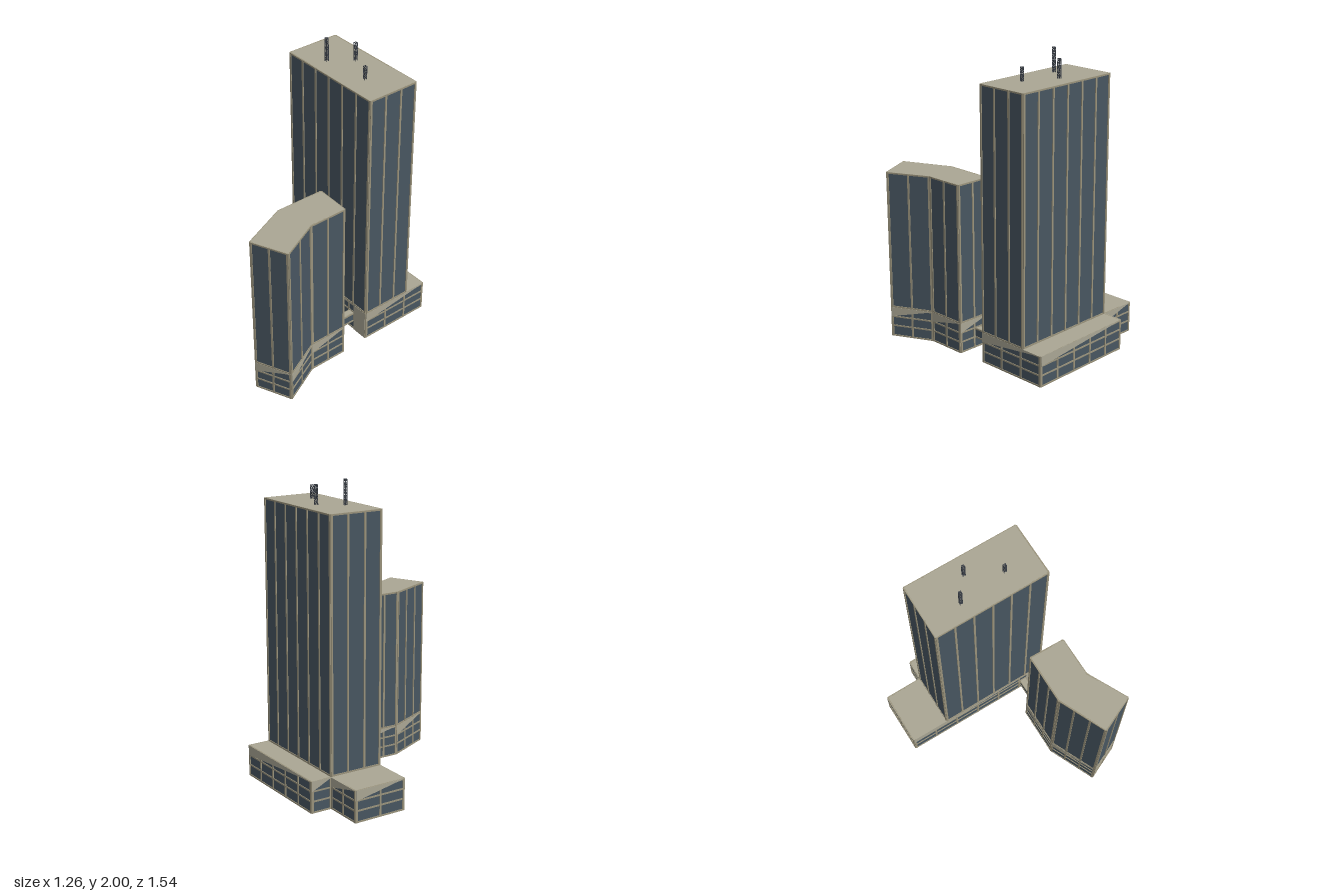
import * as THREE from 'three';

const material = (name, color) => {
  const m = new THREE.MeshStandardMaterial({ color });
  m.name = name;
  return m;
};

export function createModel() {
  const stone = material('warm grey stone', 0xaaa694);
  const trim = material('mullion stone', 0x9a937c);
  const glass = material('blue grey glass', 0x485661);
  const steel = material('dark steel', 0x3b4048);
  const model = new THREE.Group();

  const addBox = (parent, name, mat, size, pos) => {
    const mesh = new THREE.Mesh(new THREE.BoxGeometry(...size), mat);
    mesh.name = name;
    mesh.position.set(...pos);
    parent.add(mesh);
    return mesh;
  };

  // Group at corner a: local x runs along the wall, local z points outwards
  const wallFrame = (parent, a, b) => {
    const wall = new THREE.Group();
    wall.name = 'wall';
    wall.position.set(a[0], 0, a[1]);
    wall.rotation.y = Math.atan2(a[1] - b[1], b[0] - a[0]);
    parent.add(wall);
    return wall;
  };

  // Glass prism with stone caps, vertical mullions and horizontal rails
  const addBlock = (name, pts, y0, y1, { bay, rails = [], wedgeFrom = null, bar = 0.013 }) => {
    const block = new THREE.Group();
    block.name = name;
    model.add(block);
    const shape = new THREE.Shape(pts.map(([x, z]) => new THREE.Vector2(x, -z)));
    const geo = new THREE.ExtrudeGeometry(shape, { depth: y1 - y0, bevelEnabled: false });
    geo.rotateX(-Math.PI / 2).translate(0, y0, 0);
    const core = new THREE.Mesh(geo, [stone, glass]);
    core.name = 'glazedCore';
    block.add(core);

    const out = 0.005;
    pts.forEach((a, i) => {
      const b = pts[(i + 1) % pts.length];
      const len = Math.hypot(b[0] - a[0], b[1] - a[1]);
      const wall = wallFrame(block, a, b);
      const bays = Math.max(1, Math.round(len / bay));
      for (let k = 0; k <= bays; k++) {
        const x = THREE.MathUtils.clamp((k / bays) * len, bar / 2, len - bar / 2);
        addBox(wall, 'mullion', trim, [bar, y1 - y0, out * 2], [x, (y0 + y1) / 2, 0]);
      }
      for (const y of [y0 + 0.005, ...rails, y1 - 0.005]) {
        addBox(wall, 'rail', trim, [len, 0.01, out * 1.8], [len / 2, y, 0]);
      }
      // Stone triangle over the upper row of panes
      if (wedgeFrom !== null) {
        const tri = new THREE.Shape([
          new THREE.Vector2(0, wedgeFrom), new THREE.Vector2(len, y1), new THREE.Vector2(0, y1),
        ]);
        const plate = new THREE.Mesh(
          new THREE.ExtrudeGeometry(tri, { depth: 0.006, bevelEnabled: false }), stone);
        plate.name = 'slopedFascia';
        wall.add(plate);
      }
    });
    return block;
  };

  // Corner points are [x, z], running left to right as seen from outside
  const tallPlan = [[0.165, 0.32], [0.49, 0.165], [0.165, -0.53], [-0.165, -0.375]];
  const podiumPlan = [[0.165, 0.32], [0.625, 0.10], [0.295, -0.59],
    [0.165, -0.53], [0.05, -0.77], [-0.275, -0.615]];
  const lowPlan = [[-0.63, 0.60], [-0.435, 0.765], [-0.25, 0.53],
    [-0.01, 0.415], [-0.105, 0.195], [-0.405, 0.335]];
  const bridgePlan = [[-0.07, 0.297], [0.115, 0.21], [0.097, 0.173], [-0.085, 0.26]];

  const baseTop = 0.21;
  const baseStyle = { bay: 0.165, rails: [0.077, 0.143], wedgeFrom: 0.143 };
  const podium = addBlock('podium', podiumPlan, 0, baseTop, baseStyle);
  addBlock('tallTower', tallPlan, baseTop, 1.84, { bay: 0.125 });
  addBlock('lowTowerBase', lowPlan, 0, baseTop, { ...baseStyle, bay: 0.125 });
  addBlock('lowTower', lowPlan, baseTop, 1.16, { bay: 0.125 });
  addBlock('footbridge', bridgePlan, 0.07, 0.14, { bay: 0.3, bar: 0.008 });

  // Plain stone pier beside the footbridge
  const pierWall = wallFrame(podium, podiumPlan[5], podiumPlan[0]);
  addBox(pierWall, 'stonePier', stone, [0.115, baseTop, 0.014], [0.975, baseTop / 2, 0]);

  // Lattice masts on the tall roof
  const addMast = (x, z, top) => {
    const mast = new THREE.Group();
    mast.name = 'latticeMast';
    mast.position.set(x, 1.84, z);
    mast.rotation.y = 0.44;
    model.add(mast);
    const h = top - 1.84, w = 0.016, t = 0.0025;
    const steps = Math.round(h / 0.02), dh = h / steps;
    for (let s = 0; s < 4; s++) {
      const side = new THREE.Group();
      side.name = 'mastSide';
      side.rotation.y = s * Math.PI / 2;
      mast.add(side);
      addBox(side, 'mastLeg', steel, [t, h, t], [w / 2, h / 2, w / 2]);
      for (let k = 0; k < steps; k++) {
        const y = (k + 0.5) * dh;
        const brace = addBox(side, 'mastBrace', steel, [Math.hypot(w, dh), t, t], [0, y, w / 2]);
        brace.rotation.z = Math.atan2(dh, w) * (k % 2 ? 1 : -1);
        addBox(side, 'mastRung', steel, [w, t, t], [0, (k + 1) * dh - t / 2, w / 2]);
      }
    }
  };
  addMast(0.03, -0.21, 2.0);
  addMast(0.205, -0.175, 1.965);
  addMast(0.2, 0.065, 1.93);

  return model;
}
